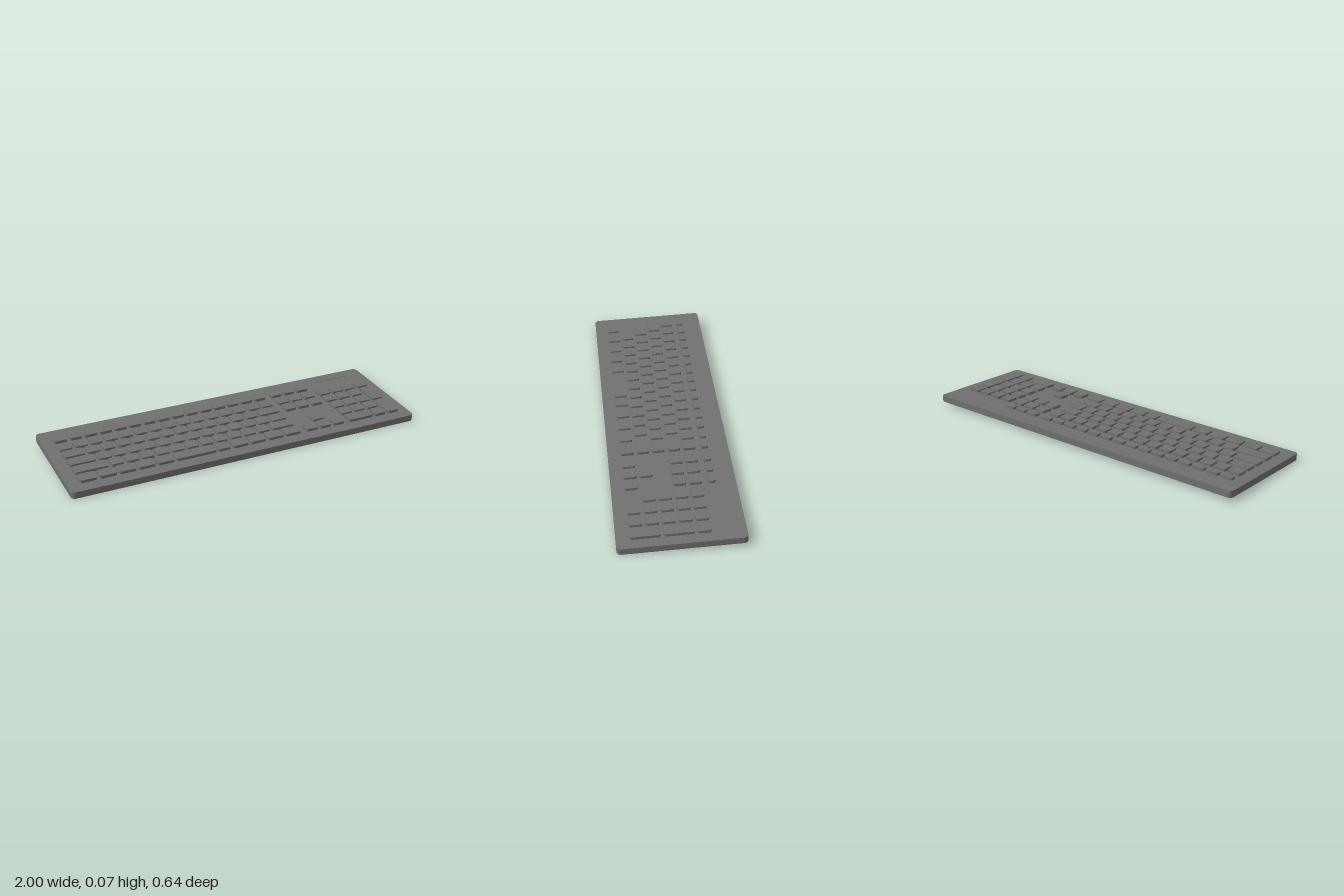
import * as THREE from 'three';

const THICK = 0.036; // case thickness
const KEY_H = 0.015; // key height above the case
const U = 0.0838;    // key pitch
const K = 0.0695;    // width of a normal key
const GAP = U - K;

// Upright slab with rounded corners, spanning x0..x1 and z0..z1 from y = 0 to h
function roundedSlab(x0, x1, z0, z1, h, r, segments) {
  const s = new THREE.Shape();
  const a = -z1, b = -z0;
  s.moveTo(x0 + r, a);
  s.lineTo(x1 - r, a);
  s.absarc(x1 - r, a + r, r, -Math.PI / 2, 0);
  s.lineTo(x1, b - r);
  s.absarc(x1 - r, b - r, r, 0, Math.PI / 2);
  s.lineTo(x0 + r, b);
  s.absarc(x0 + r, b - r, r, Math.PI / 2, Math.PI);
  s.lineTo(x0, a + r);
  s.absarc(x0 + r, a + r, r, Math.PI, Math.PI * 1.5);
  const g = new THREE.ExtrudeGeometry(s, { depth: h, bevelEnabled: false, curveSegments: segments });
  return g.rotateX(-Math.PI / 2);
}

export function createModel() {
  const grey = new THREE.MeshStandardMaterial({ color: 0x707070 });
  grey.name = 'grey plastic';

  const model = new THREE.Group();
  model.name = 'keyboard';

  // Everything sits on one gentle slope, higher at the back
  const tilted = new THREE.Group();
  tilted.name = 'tiltedBody';
  tilted.rotation.x = 0.0346;
  tilted.position.y = 0.011;
  model.add(tilted);

  const add = (parent, name, geometry, y = 0) => {
    const mesh = new THREE.Mesh(geometry, grey);
    mesh.name = name;
    mesh.position.y = y;
    parent.add(mesh);
    return mesh;
  };

  // Case
  add(tilted, 'case', roundedSlab(-1, 1, -0.318, 0.318, THICK, 0.022, 6));

  // Front and back edge of each key row, from the back of the keyboard
  const rows = [
    [-0.213, -0.175], [-0.145, -0.079], [-0.064, 0.002],
    [0.018, 0.085], [0.1, 0.166], [0.182, 0.249],
  ];

  const section = (name) => {
    const g = new THREE.Group();
    g.name = name;
    g.position.y = THICK;
    tilted.add(g);
    return g;
  };
  const key = (parent, name, x, w, row, lastRow = row) =>
    add(parent, name, roundedSlab(x, x + w, rows[row][0], rows[lastRow][1], KEY_H, 0.01, 3));

  // Main block: key widths of each row, left to right
  const n = (count, w = K) => Array(count).fill(w);
  const mainRows = [
    n(15),
    n(15),
    [0.112, ...n(12), 0.124],
    [0.142, ...n(12), 0.091],
    [0.182, ...n(11), 0.131],
    [...n(5, 0.091), 0.225, K, ...n(4, 0.091)],
  ];
  const main = section('mainKeys');
  const left = -0.933, right = 0.318;
  mainRows.forEach((widths, row) => {
    const total = widths.reduce((a, b) => a + b, 0);
    const gap = (right - left - total) / (widths.length - 1);
    let x = left;
    widths.forEach((w) => {
      key(main, w > 0.2 ? 'spaceBar' : 'key', x, w, row);
      x += w + gap;
    });
  });

  // Navigation block and arrow keys
  const nav = section('navigationKeys');
  const navX = 0.355;
  for (const row of [0, 1, 2, 5]) {
    for (let i = 0; i < 3; i++) key(nav, row === 5 ? 'arrowKey' : 'navigationKey', navX + i * U, K, row);
  }
  key(nav, 'arrowKey', navX + U, K, 4);

  // Number pad with two tall keys and one wide key
  const pad = section('numberPad');
  const padX = 0.622;
  for (let i = 0; i < 4; i++) key(pad, 'padKey', padX + i * U, K, 1);
  for (let row = 2; row < 5; row++) {
    for (let i = 0; i < 3; i++) key(pad, 'padKey', padX + i * U, K, row);
  }
  key(pad, 'padWideKey', padX, 2 * K + GAP, 5);
  key(pad, 'padKey', padX + 2 * U, K, 5);
  key(pad, 'padTallKey', padX + 3 * U, K, 2, 3);
  key(pad, 'padTallKey', padX + 3 * U, K, 4, 5);

  // Thin indicator strip above the number pad
  add(tilted, 'indicatorStrip', roundedSlab(0.7, 0.905, -0.259, -0.251, 0.002, 0.003, 2), THICK);

  // Long wedge foot under the back edge: profile as distance back, depth
  const profile = new THREE.Shape();
  profile.moveTo(0.075, 0.001);
  profile.lineTo(0.075, 0);
  profile.lineTo(0.222, -0.0165);
  profile.bezierCurveTo(0.24, -0.0185, 0.246, -0.014, 0.251, -0.009);
  profile.quadraticCurveTo(0.258, -0.002, 0.272, 0);
  profile.lineTo(0.272, 0.001);
  const foot = new THREE.ExtrudeGeometry(profile, { depth: 1.78, bevelEnabled: false, curveSegments: 8 });
  foot.rotateY(Math.PI / 2).translate(-0.89, 0, 0);
  add(tilted, 'rearFoot', foot);

  return model;
}
